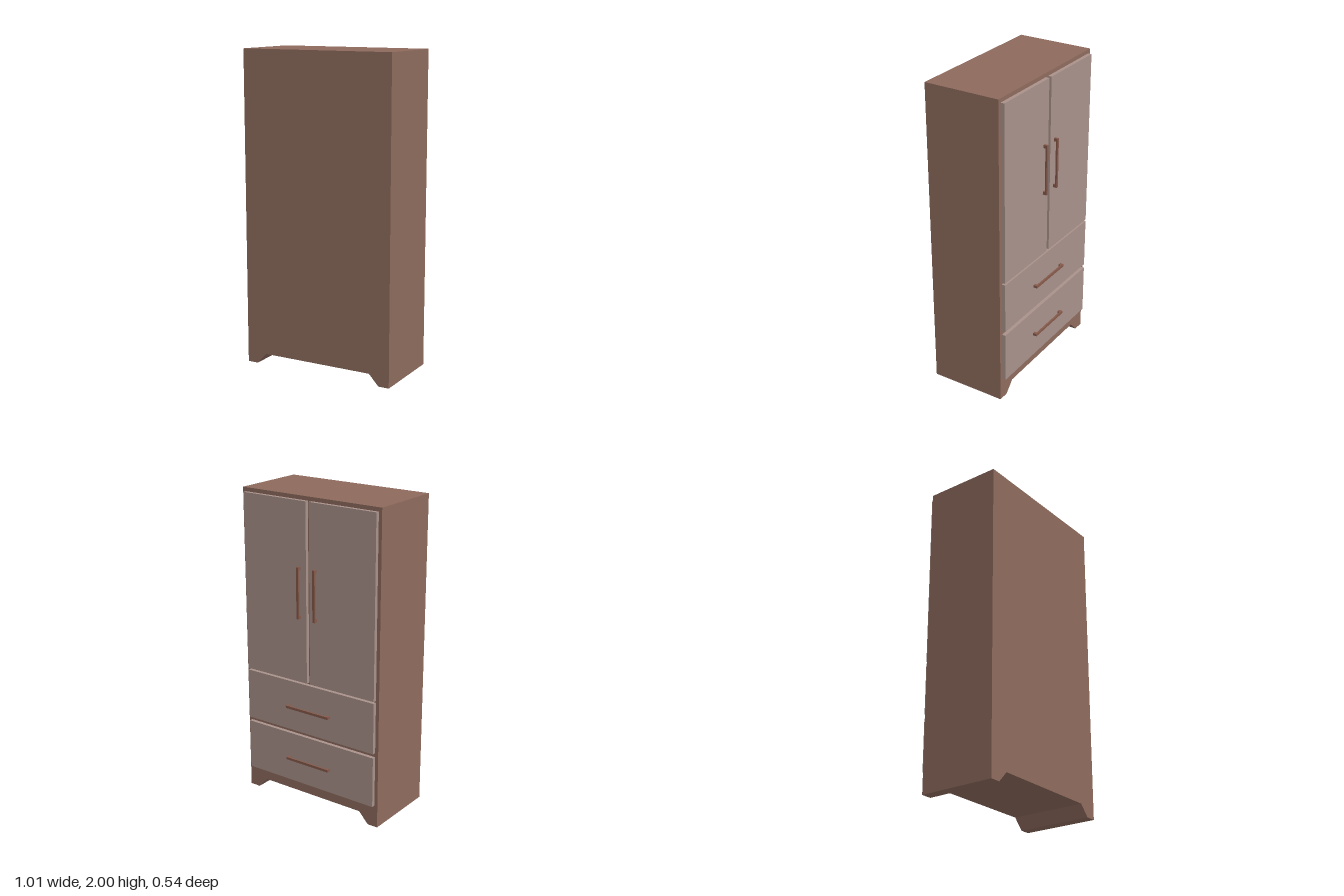
import * as THREE from 'three';

const material = (color) => new THREE.MeshStandardMaterial({ color });

export function createModel() {
  const model = new THREE.Group();
  const wood = material(0x8d6a5c);
  const panelWood = material(0xa8918a);
  const handleWood = material(0x85594a);

  function box(parent, name, mat, x0, x1, y0, y1, z0, z1) {
    const mesh = new THREE.Mesh(new THREE.BoxGeometry(x1 - x0, y1 - y0, z1 - z0), mat);
    mesh.position.set((x0 + x1) / 2, (y0 + y1) / 2, (z0 + z1) / 2);
    mesh.name = name;
    parent.add(mesh);
  }

  // Cabinet body with a bracket-foot cut-out running through its depth
  const outline = new THREE.Shape([
    [-0.505, 0], [-0.435, 0], [-0.37, 0.07], [0.37, 0.07],
    [0.435, 0], [0.505, 0], [0.505, 2], [-0.505, 2],
  ].map(([x, y]) => new THREE.Vector2(x, y)));
  const body = new THREE.Mesh(
    new THREE.ExtrudeGeometry(outline, { depth: 0.495, bevelEnabled: false }), wood);
  body.position.z = -0.224;
  body.name = 'cabinetBody';
  model.add(body);

  // Bar handle: two short posts carrying a square bar, built along x
  function handle(name, x, y, upright) {
    const group = new THREE.Group();
    group.name = name;
    const half = 0.162, r = 0.008;
    box(group, 'handleBar', handleWood, -half, half, -r, r, -0.273, -0.262);
    for (const s of [-1, 1]) {
      const c = s * (half - 0.01);
      box(group, 'handlePost', handleWood, c - 0.01, c + 0.01, -r, r, -0.262, -0.248);
    }
    group.position.set(x, y, 0);
    if (upright) group.rotation.z = Math.PI / 2;
    model.add(group);
  }

  // Pair of doors
  for (const [side, s] of [['left', 1], ['right', -1]]) {
    const xs = [s * 0.012, s * 0.483].sort((a, b) => a - b);
    box(model, side + 'Door', panelWood, xs[0], xs[1], 0.84, 1.975, -0.248, -0.224);
    handle(side + 'DoorHandle', s * 0.06, 1.416, true);
  }

  // Two full-width drawers
  for (const [name, y0, y1, yh] of [['upperDrawer', 0.5, 0.828, 0.658], ['lowerDrawer', 0.145, 0.473, 0.302]]) {
    box(model, name, panelWood, -0.483, 0.483, y0, y1, -0.248, -0.224);
    handle(name + 'Handle', 0, yh, false);
  }

  return model;
}
